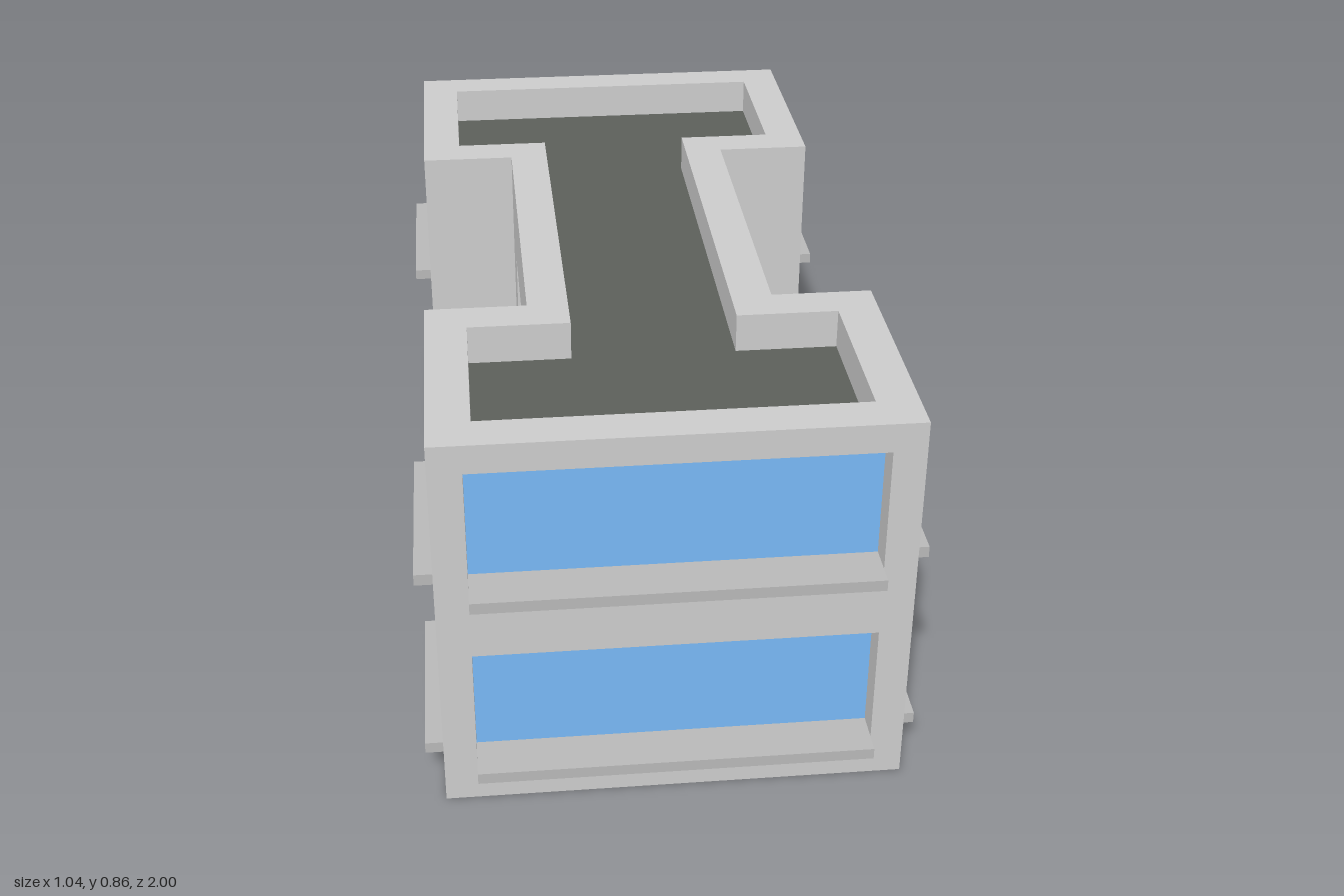
import * as THREE from 'three';

const H = 0.86, ROOF_Y = 0.775;
const mat = (color) => new THREE.MeshStandardMaterial({ color, side: THREE.DoubleSide });
const wallMat = mat(0xcccccc), trimMat = mat(0xb8b8b8), glassMat = mat(0x78b8f5), roofMat = mat(0x5c5f5a);

function add(parent, name, geometry, material, x = 0, y = 0, z = 0) {
  const mesh = new THREE.Mesh(geometry, material);
  mesh.name = name;
  mesh.position.set(x, y, z);
  parent.add(mesh);
  return mesh;
}

const toShape = (pts) => new THREE.Shape(pts.map(([x, y]) => new THREE.Vector2(x, y)));
const rect = (w, y0, y1) => [[-w / 2, y0], [w / 2, y0], [w / 2, y1], [-w / 2, y1]];

// Open-ended sleeve: a closed outline swept from z = 0 to z = depth
function sleeve(pts, depth) {
  const pos = [];
  pts.forEach(([ax, ay], i) => {
    const [bx, by] = pts[(i + 1) % pts.length];
    pos.push(ax, ay, 0, bx, by, 0, bx, by, depth, ax, ay, 0, bx, by, depth, ax, ay, depth);
  });
  const g = new THREE.BufferGeometry();
  g.setAttribute('position', new THREE.Float32BufferAttribute(pos, 3));
  g.computeVertexNormals();
  return g;
}

// I-shaped plan, inset by d
function plan(d) {
  const X = 0.48 - d, x = 0.263 - d, Z = 0.96 - d, z = 0.403 + d;
  return [[-X, -Z], [X, -Z], [X, -z], [x, -z], [x, z], [X, z],
    [X, Z], [-X, Z], [-X, z], [-x, z], [-x, -z], [-X, -z]];
}

// Flat wall facing local +z, with rectangular openings [width, y0, y1]
function facade(parent, name, width, angle, x, z, openings = []) {
  const g = new THREE.Group();
  g.name = name;
  g.position.set(x, 0, z);
  g.rotation.y = angle;
  const shape = toShape(rect(width, 0, H));
  shape.holes = openings.map((o) => toShape(rect(...o)));
  add(g, 'wall', new THREE.ShapeGeometry(shape), wallMat);
  parent.add(g);
  return g;
}

// Recessed window with a projecting sill
function windowUnit(g, w, y0, y1) {
  const depth = 0.06, sill = 0.025;
  add(g, 'windowReveal', sleeve(rect(w, y0, y1), -depth), wallMat);
  add(g, 'windowGlass', new THREE.PlaneGeometry(w, y1 - y0), glassMat, 0, (y0 + y1) / 2, -depth);
  add(g, 'windowSill', new THREE.BoxGeometry(w, sill, depth + 0.04), trimMat,
    0, y0 + sill / 2, (0.04 - depth) / 2);
}

// Balcony tray with a deep glazed opening behind it
function balcony(g) {
  const w = 0.5, y0 = 0.205, y1 = 0.65, rail = 0.405, d = 0.108, t = 0.01;
  const h = rail - y0, mid = (rail + y0) / 2;
  add(g, 'balconyReveal', sleeve(rect(w, y0, y1), -d), wallMat);
  add(g, 'balconyGlass', new THREE.PlaneGeometry(w, y1 - y0), glassMat, 0, (y0 + y1) / 2, -d);
  add(g, 'balconyLintel', new THREE.BoxGeometry(w, 0.014, t), wallMat, 0, y1 - 0.007, -d + t / 2);
  add(g, 'balconyFloor', new THREE.BoxGeometry(w, t, 2 * d), trimMat, 0, y0 + t / 2, 0);
  add(g, 'balconyFront', new THREE.BoxGeometry(w, h, t), trimMat, 0, mid, d - t / 2);
  for (const s of [-1, 1]) {
    add(g, 'balconySide', new THREE.BoxGeometry(t, h, 2 * d), trimMat, s * (w - t) / 2, mid, 0);
  }
}

export function createModel() {
  const model = new THREE.Group();
  model.name = 'building';
  const storeys = [[0.07, 0.367], [0.5, 0.797]];

  for (const s of [-1, 1]) {
    // End walls with wide windows
    const wide = storeys.map(([a, b]) => [0.824, a, b]);
    const end = facade(model, 'endWall', 0.96, s > 0 ? 0 : Math.PI, 0, s * 0.96, wide);
    wide.forEach((o) => windowUnit(end, ...o));

    // Middle wall with balcony
    const middle = facade(model, 'middleWall', 0.806, s * Math.PI / 2, s * 0.263, 0, [[0.5, 0.205, 0.65]]);
    balcony(middle);

    for (const e of [-1, 1]) {
      // Side walls of the end blocks
      const narrow = storeys.map(([a, b]) => [0.424, a, b]);
      const side = facade(model, 'sideWall', 0.557, s * Math.PI / 2, s * 0.48, e * 0.6815, narrow);
      narrow.forEach((o) => windowUnit(side, ...o));
      // Return walls stepping in to the middle
      facade(model, 'returnWall', 0.217, e > 0 ? Math.PI : 0, s * 0.3715, e * 0.403);
    }

    // Floor under each end, leaving the centre open
    const floor = toShape([[-0.48, 0.96], [-0.48, 0.403], [-0.263, 0.403], [-0.263, 0.25],
      [0.263, 0.25], [0.263, 0.403], [0.48, 0.403], [0.48, 0.96]].map(([x, z]) => [x, z * s]));
    add(model, 'floor', new THREE.ShapeGeometry(floor).rotateX(Math.PI / 2), wallMat);
  }

  // Parapet cap, its inner faces, and the sunken roof deck
  const cap = toShape(plan(0));
  cap.holes.push(toShape(plan(0.088)));
  add(model, 'parapetCap', new THREE.ShapeGeometry(cap).rotateX(-Math.PI / 2), wallMat, 0, H, 0);
  add(model, 'parapetInside', sleeve(plan(0.088), H - ROOF_Y).rotateX(-Math.PI / 2), wallMat, 0, ROOF_Y, 0);
  add(model, 'roofDeck', new THREE.ShapeGeometry(toShape(plan(0.088))).rotateX(-Math.PI / 2), roofMat, 0, ROOF_Y, 0);

  return model;
}
